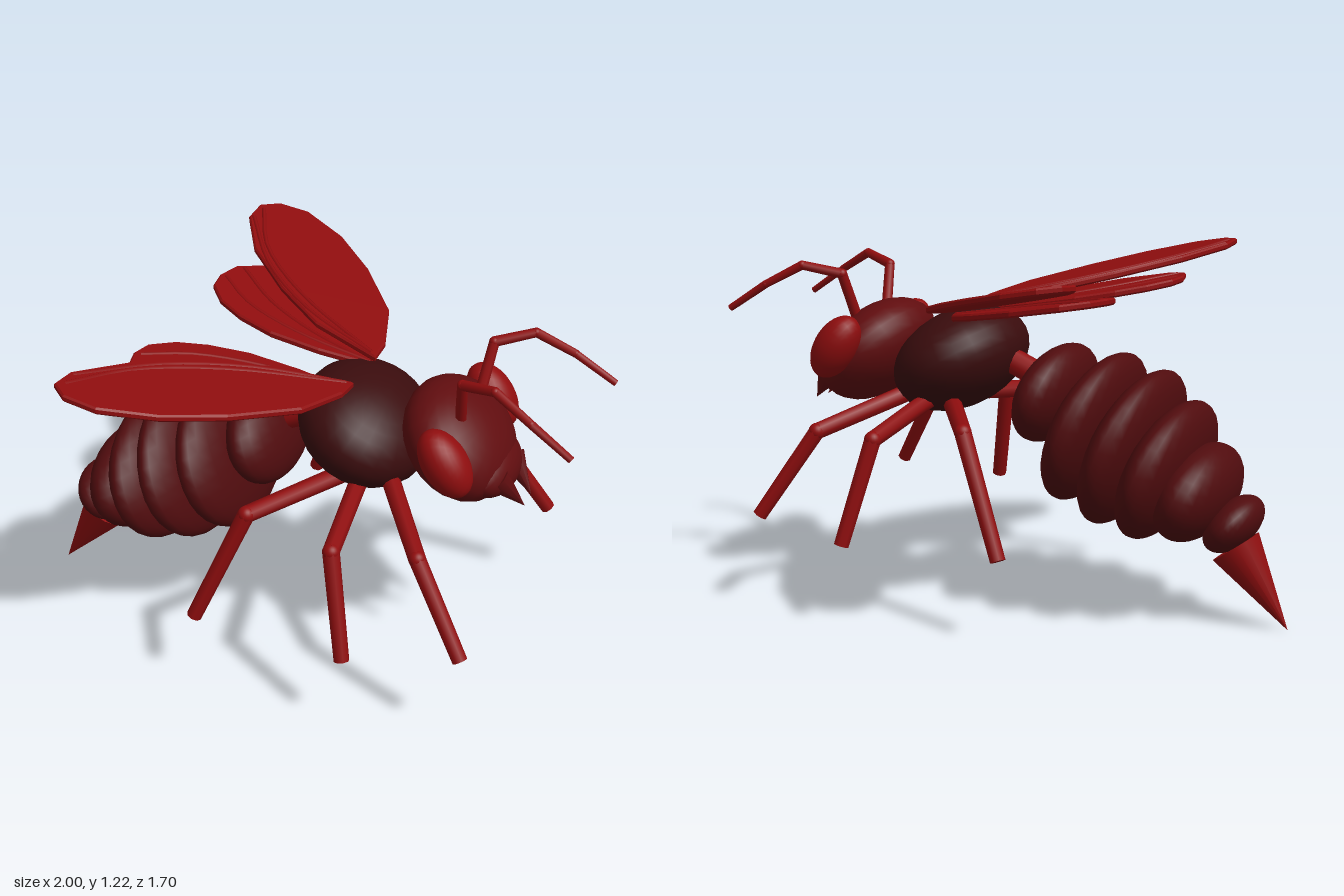
import * as THREE from 'three';

const material = (name, color) => {
  const m = new THREE.MeshStandardMaterial({ color });
  m.name = name;
  return m;
};

export function createModel() {
  const model = new THREE.Group();
  model.name = 'wasp';
  const red = material('bright red', 0x8f0d0e);
  const headRed = material('deep red', 0x600d0f);
  const bellyRed = material('dark red', 0x500c0e);
  const maroon = material('maroon', 0x3a0c0d);

  const add = (name, geometry, mat, parent = model) => {
    const mesh = new THREE.Mesh(geometry, mat);
    mesh.name = name;
    parent.add(mesh);
    return mesh;
  };
  const ball = (name, mat, center, radii, tilt = 0, parent = model) => {
    const mesh = add(name, new THREE.SphereGeometry(1, 24, 16), mat, parent);
    mesh.position.set(...center);
    mesh.scale.set(...radii);
    mesh.rotation.z = tilt;
    return mesh;
  };
  // Tapered cylinder from point a to point b
  const rod = (name, mat, a, b, ra, rb, sides = 8, parent = model) => {
    const from = new THREE.Vector3(...a), to = new THREE.Vector3(...b);
    const dir = to.clone().sub(from);
    const mesh = add(name, new THREE.CylinderGeometry(rb, ra, dir.length(), sides), mat, parent);
    mesh.position.copy(from).add(to).multiplyScalar(0.5);
    mesh.quaternion.setFromUnitVectors(new THREE.Vector3(0, 1, 0), dir.normalize());
    return mesh;
  };
  // Chain of rods with rounded joints
  const limb = (name, points, radii, side) => {
    const group = new THREE.Group();
    group.name = name;
    model.add(group);
    const pts = points.map(([x, y, z]) => [x, y, z * side]);
    for (let i = 0; i < pts.length - 1; i++) {
      rod(name + 'Segment', red, pts[i], pts[i + 1], radii[i], radii[i + 1], 8, group);
      if (i) ball(name + 'Joint', red, pts[i], [radii[i], radii[i], radii[i]], 0, group);
    }
  };

  // Body
  ball('thorax', maroon, [0.213, 0.835, 0], [0.24, 0.17, 0.29], -0.52);
  ball('head', headRed, [0.545, 0.845, 0], [0.22, 0.145, 0.26], -0.8);
  ball('mouth', headRed, [0.66, 0.77, 0], [0.1, 0.085, 0.17], -0.9);
  rod('waist', red, [-0.14, 0.77, 0], [0.04, 0.85, 0], 0.045, 0.045, 12);

  // Abdomen rings: x, y, half thickness, half height, half width, tilt
  [
    [-0.15, 0.74, 0.1, 0.178, 0.27, 0.35],
    [-0.3, 0.634, 0.1, 0.27, 0.35, 0.35],
    [-0.44, 0.575, 0.1, 0.28, 0.37, 0.35],
    [-0.565, 0.508, 0.105, 0.248, 0.35, 0.35],
    [-0.677, 0.442, 0.12, 0.172, 0.28, 0.4],
    [-0.803, 0.345, 0.075, 0.115, 0.155, 0.75],
  ].forEach(([x, y, a, b, w, tilt]) =>
    ball('abdomenRing', bellyRed, [x, y, 0], [a, b, w], tilt));
  rod('sting', red, [-0.812, 0.268, 0], [-1, 0, 0], 0.09, 0, 16);

  // Wing plates lie in x/z, sheared upward towards the tip
  const wings = {
    foreWing: {
      outline: [[0.2, 0.1], [0.2, 0.2], [0.14, 0.4], [-0.02, 0.61], [-0.18, 0.76], [-0.35, 0.85],
        [-0.465, 0.845], [-0.525, 0.79], [-0.525, 0.69], [-0.42, 0.5], [-0.235, 0.315], [-0.05, 0.18]],
      rise: (x, z) => 1.02 - 0.17 * (x - 0.2) + 0.09 * (z - 0.1),
      veins: [[[0.18, 0.12], [-0.15, 0.31], [-0.38, 0.53], [-0.5, 0.77]],
        [[0.18, 0.12], [-0.1, 0.24], [-0.33, 0.43], [-0.51, 0.7]]],
    },
    hindWing: {
      outline: [[0.2, 0.1], [0.15, 0.2], [0, 0.36], [-0.2, 0.48], [-0.38, 0.49], [-0.46, 0.43],
        [-0.485, 0.34], [-0.475, 0.26], [-0.41, 0.18], [-0.315, 0.125], [-0.18, 0.085], [0, 0.08]],
      rise: (x, z) => 0.99 - 0.16 * (x - 0.2) + 0.05 * (z - 0.1),
      veins: [[[0.18, 0.11], [-0.1, 0.14], [-0.32, 0.22], [-0.46, 0.34]],
        [[0.18, 0.11], [-0.05, 0.17], [-0.25, 0.27], [-0.43, 0.43]]],
    },
  };
  const makeWing = (name, { outline, rise, veins }, side) => {
    const group = new THREE.Group();
    group.name = name;
    model.add(group);
    const shape = new THREE.Shape(outline.map((p) => new THREE.Vector2(...p)));
    const plate = new THREE.ExtrudeGeometry(shape, {
      depth: 0.012, bevelSize: 0.006, bevelThickness: 0.006, bevelOffset: -0.006, bevelSegments: 1,
    });
    plate.translate(0, 0, -0.006).rotateX(side * Math.PI / 2);
    const p = plate.attributes.position;
    for (let i = 0; i < p.count; i++) p.setY(i, p.getY(i) + rise(p.getX(i), Math.abs(p.getZ(i))));
    plate.computeVertexNormals();
    add(name + 'Plate', plate, red, group);
    veins.forEach((vein) => {
      const curve = new THREE.CatmullRomCurve3(
        vein.map(([x, z]) => new THREE.Vector3(x, rise(x, z) + 0.008, z * side)));
      add(name + 'Vein', new THREE.TubeGeometry(curve, 12, 0.009, 6), red, group);
    });
  };

  // Paired parts on both sides
  for (const side of [1, -1]) {
    ball('eye', red, [0.575, 0.885, 0.255 * side], [0.125, 0.075, 0.078], -0.98);
    rod('mandible', headRed, [0.7, 0.765, 0.085 * side], [0.79, 0.655, 0.038 * side], 0.048, 0, 10);
    limb('antenna', [[0.57, 0.93, 0.09], [0.595, 1.13, 0.17], [0.72, 1.16, 0.23], [0.85, 1.09, 0.265],
      [0.99, 1.0, 0.28]], [0.02, 0.018, 0.016, 0.014, 0.012], side);
    const legRadii = [0.032, 0.029, 0.026];
    limb('frontLeg', [[0.34, 0.73, 0.13], [0.55, 0.62, 0.43], [0.735, 0.325, 0.515]], legRadii, side);
    limb('middleLeg', [[0.25, 0.72, 0.14], [0.285, 0.63, 0.51], [0.36, 0.28, 0.6]], legRadii, side);
    limb('backLeg', [[0.18, 0.7, 0.14], [-0.03, 0.675, 0.47], [-0.195, 0.28, 0.55]], legRadii, side);
    for (const name in wings) makeWing(name, wings[name], side);
  }
  return model;
}
